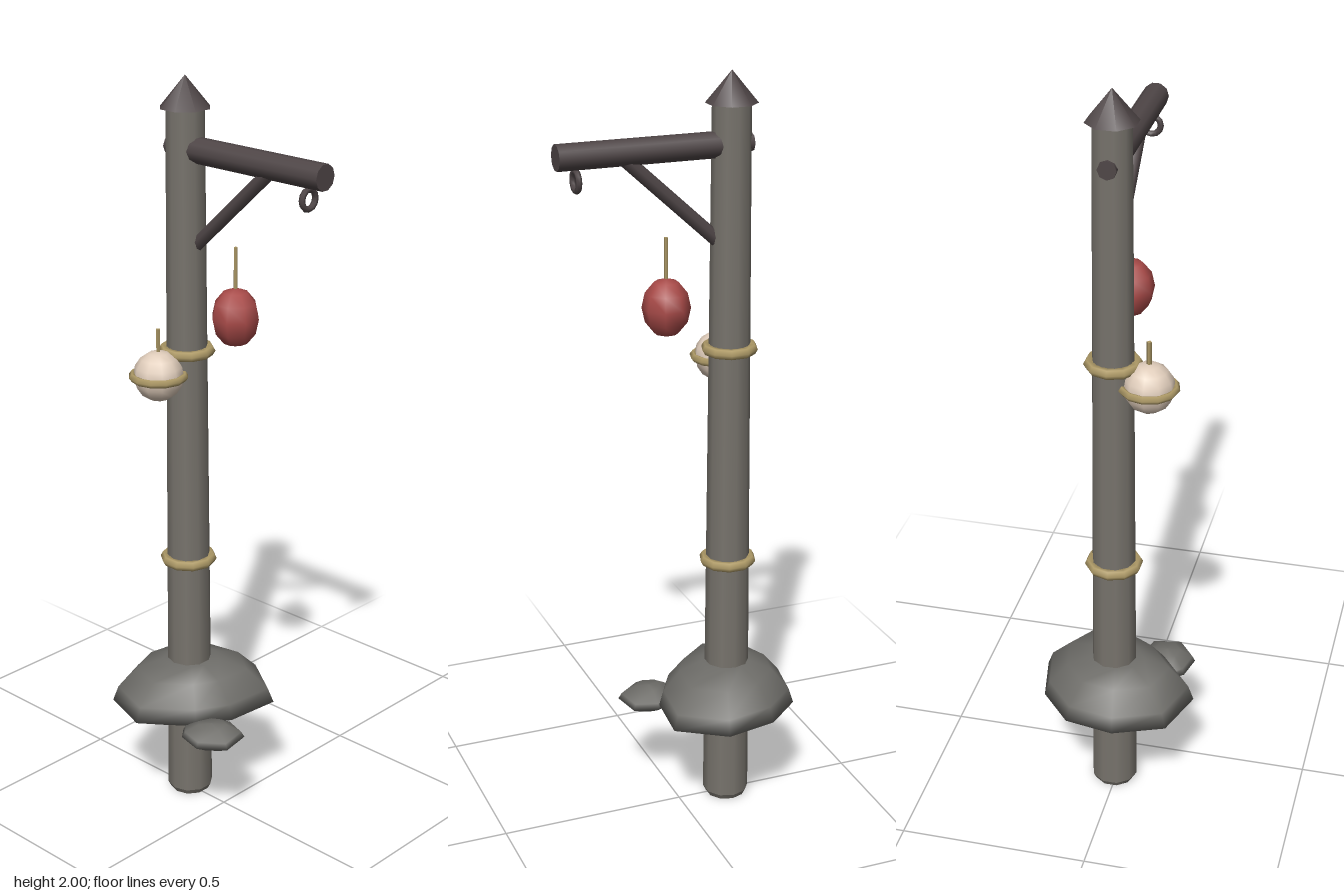
import * as THREE from 'three';

const mat = (name, color) => {
  const m = new THREE.MeshStandardMaterial({ color });
  m.name = name;
  return m;
};

// Irregular boulder: one ground outline repeated in scaled rings, [height, scale]
function boulder(outline, cx, cz, rings) {
  const pos = [], idx = [], n = outline.length;
  for (const [y, s] of rings)
    for (const [x, z] of outline) pos.push(cx + (x - cx) * s, y, cz + (z - cz) * s);
  for (let r = 0; r < rings.length - 1; r++)
    for (let i = 0; i < n; i++) {
      const a = r * n + i, c = r * n + (i + 1) % n, b = a + n, d = c + n;
      idx.push(a, b, c, b, d, c);
    }
  const g = new THREE.BufferGeometry();
  g.setAttribute('position', new THREE.Float32BufferAttribute(pos, 3));
  g.setIndex(idx);
  g.computeVertexNormals();
  return g;
}

export function createModel() {
  const group = new THREE.Group();
  const PX = -0.136, PZ = -0.006; // post axis

  const post = mat('weathered post', 0x77736c);
  const stone = mat('stone', 0x6e6d69);
  const dark = mat('dark timber', 0x4f4647);
  const rope = mat('straw rope', 0xae9a67);
  const red = mat('red paper', 0xa84a48);
  const cream = mat('cream float', 0xe0cdbb);

  const add = (name, geo, material, x = 0, y = 0, z = 0) => {
    const m = new THREE.Mesh(geo, material);
    m.name = name;
    m.position.set(x, y, z);
    group.add(m);
    return m;
  };

  // Cylinder between two points
  const rod = (name, material, from, to, r, sides) => {
    const a = new THREE.Vector3(...from), b = new THREE.Vector3(...to);
    const dir = b.clone().sub(a);
    const m = add(name, new THREE.CylinderGeometry(r, r, dir.length(), sides), material);
    m.position.copy(a).add(b).multiplyScalar(0.5);
    m.quaternion.setFromUnitVectors(new THREE.Vector3(0, 1, 0), dir.normalize());
    return m;
  };

  // Post with a small bevelled foot, and its pointed cap
  add('postFoot', new THREE.CylinderGeometry(0.062, 0.054, 0.015, 10), post, PX, 0.0075, PZ);
  add('post', new THREE.CylinderGeometry(0.049, 0.062, 1.91, 10), post, PX, 0.97, PZ);
  add('postCap', new THREE.ConeGeometry(0.066, 0.08, 8), dark, PX, 1.96, PZ).rotation.y = Math.PI / 8;

  // Arm, peg behind the post, and diagonal brace
  rod('arm', dark, [-0.136, 1.82, PZ], [0.318, 1.82, PZ], 0.033, 10);
  rod('armPeg', dark, [-0.19, 1.82, PZ], [-0.13, 1.82, PZ], 0.024, 8);
  rod('brace', dark, [-0.1, 1.58, PZ], [0.14, 1.8, PZ], 0.018, 8);

  // Hook ring under the arm
  add('hook', new THREE.TorusGeometry(0.024, 0.008, 6, 12), dark, 0.268, 1.76, PZ).rotation.y = Math.PI / 2;

  // Rope bands around the post
  for (const [y, r] of [[0.708, 0.062], [1.295, 0.06]])
    add('ropeBand', new THREE.TorusGeometry(r, 0.014, 6, 10), rope, PX, y, PZ).rotation.x = Math.PI / 2;

  // Red hanging lantern and its cord
  const lantern = add('lantern', new THREE.SphereGeometry(0.062, 8, 6), red, 0.036, 1.42, -0.004);
  lantern.scale.y = 1.23;
  lantern.rotation.y = Math.PI / 8;
  rod('lanternCord', rope, [0.036, 1.48, -0.004], [0.036, 1.6, -0.004], 0.005, 5);

  // Cream float with a rope belt and cord
  const FX = -0.147, FZ = 0.087;
  add('float', new THREE.SphereGeometry(0.066, 10, 8), cream, FX, 1.245, FZ);
  add('floatBelt', new THREE.TorusGeometry(0.067, 0.011, 5, 12), rope, FX, 1.245, FZ).rotation.x = Math.PI / 2;
  rod('floatCord', rope, [FX, 1.3, FZ], [FX, 1.37, FZ], 0.007, 4);

  // Boulders around the base of the post
  const big = [[0.05, 0.02], [0.0, 0.11], [-0.125, 0.21], [-0.265, 0.163], [-0.318, 0.03],
    [-0.295, -0.1], [-0.198, -0.185], [-0.06, -0.213], [0.065, -0.13]];
  add('bigStone', boulder(big, -0.13, 0,
    [[0.24, 0], [0.24, 0.5], [0.29, 1], [0.33, 0.93], [0.385, 0.68], [0.408, 0.35], [0.41, 0]]), stone);
  const small = [[0.13, 0.125], [0.065, 0.175], [-0.005, 0.158], [-0.032, 0.125],
    [0.0, 0.05], [0.05, 0.022], [0.115, 0.042]];
  add('smallStone', boulder(small, 0.05, 0.1,
    [[0.245, 0], [0.247, 0.45], [0.273, 1], [0.288, 0.9], [0.31, 0.45], [0.313, 0]]), stone);

  return group;
}
